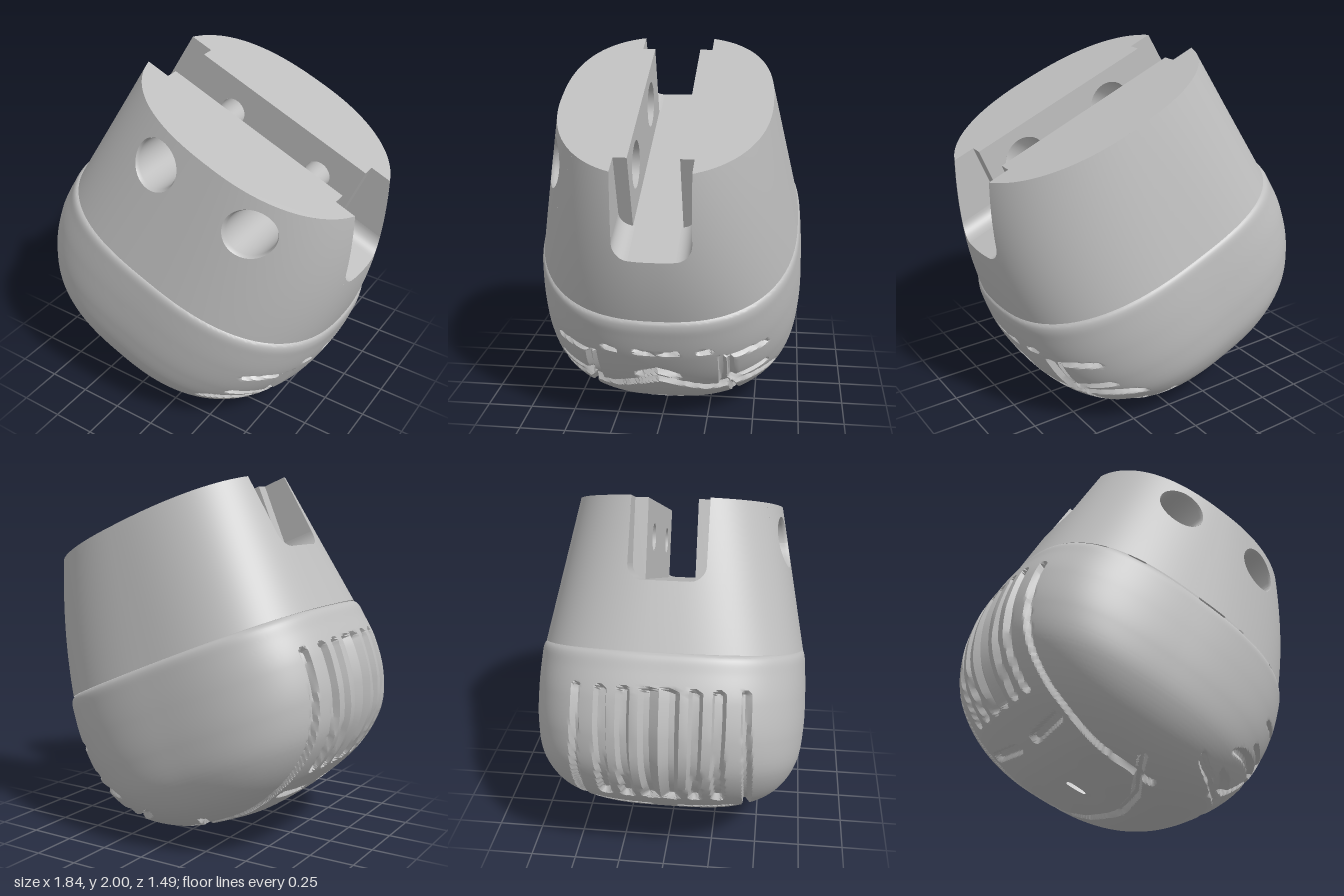
import * as THREE from 'three';
import { mergeVertices, toCreasedNormals } from 'three/addons/utils/BufferGeometryUtils.js';

// Built upright (u = x, v = y), then the whole group is tilted.
const TILT = Math.PI / 8, C = -0.38;
const TOP = 1.722, FLOOR = 1.3, LAP = FLOOR - 0.004, SEAM = 0.945;
const IN_L = -0.932, IN_R = 0.164, SLOT = 0.13, NOTCH = 0.2;
const HOLES = [-0.645, -0.058], HOLE_V = 1.527;
const lerp = THREE.MathUtils.lerp;
const V = (x, y, z) => new THREE.Vector3(x, y, z);

// Oval cross-section of the upper collar at height v
function collar(v) {
  const t = (v - 0.95) / 0.77;
  return { l: C - lerp(-1.184, -1.086, t), r: lerp(0.492, 0.316, t) + 0.14 * t * (1 - t) - C,
    w: lerp(0.715, 0.565, t), nl: lerp(2.85, 2.5, t), nr: lerp(2.45, 2.2, t) };
}
function oval(d, angle, v) {
  const c = Math.cos(angle), s = Math.sin(angle), n = c < 0 ? d.nl : d.nr;
  return V(C + Math.sign(c) * (c < 0 ? d.l : d.r) * Math.abs(c) ** (2 / n), v,
    Math.sign(s) * d.w * Math.abs(s) ** (2 / n));
}
function level(u, v, z) {
  const d = collar(v), n = u < C ? d.nl : d.nr;
  return (Math.abs(u - C) / (u < C ? d.l : d.r)) ** n + (Math.abs(z) / d.w) ** n;
}
function zAt(u, v) {
  const d = collar(v), n = u < C ? d.nl : d.nr;
  return d.w * Math.max(0, 1 - (Math.abs(u - C) / (u < C ? d.l : d.r)) ** n) ** (1 / n);
}
function uAt(side, z, v) {
  const d = collar(v), n = side < 0 ? d.nl : d.nr;
  return C + side * (side < 0 ? d.l : d.r) * (1 - (Math.abs(z) / d.w) ** n) ** (1 / n);
}
function angleAtU(u, v) {
  const d = collar(v), left = u < C;
  const c = (Math.abs(u - C) / (left ? d.l : d.r)) ** ((left ? d.nl : d.nr) / 2);
  return Math.acos(left ? -c : c);
}
function notchAngle(side, v) {
  const d = collar(v), a = Math.asin((NOTCH / d.w) ** ((side < 0 ? d.nl : d.nr) / 2));
  return side < 0 ? Math.PI - a : a;
}
function collarNormal(p) {
  const e = 1e-4, f = level;
  return V(f(p.x + e, p.y, p.z) - f(p.x - e, p.y, p.z), f(p.x, p.y + e, p.z) - f(p.x, p.y - e, p.z),
    f(p.x, p.y, p.z + e) - f(p.x, p.y, p.z - e)).normalize();
}

// Grid surface; out(p) tells which way it faces, and gives the normals when exact
function patch(fn, na, nb, out, exact) {
  const pts = [], index = [], ab = V(), ac = V();
  for (let j = 0; j <= nb; j++) for (let i = 0; i <= na; i++) pts.push(fn(i / na, j / nb));
  const tri = (a, b, c) => {
    ab.subVectors(pts[b], pts[a]);
    ac.subVectors(pts[c], pts[a]);
    if (ab.cross(ac).dot(out(pts[a])) < 0) index.push(a, c, b);
    else index.push(a, b, c);
  };
  for (let j = 0; j < nb; j++) for (let i = 0; i < na; i++) {
    const a = j * (na + 1) + i, b = a + na + 1;
    tri(a, a + 1, b + 1);
    tri(a, b + 1, b);
  }
  const g = new THREE.BufferGeometry().setFromPoints(pts);
  g.setIndex(index);
  if (exact) g.setAttribute('normal', new THREE.Float32BufferAttribute(pts.flatMap(p => out(p).toArray()), 3));
  else g.computeVertexNormals();
  return g;
}

// Tread grooves on the right-hand end: [half width, points as (|z|, world height)]
const END_TREAD = [
  [0.018, [[0, 0.3], [0.25, 0.215], [0.33, 0.215], [0.6, 0.265]]],
  [0.016, [[0, 0.36], [0.1, 0.325]]],
  [0.02, [[0.345, 0.44], [0.345, 0.23]]],
  [0.012, [[0.345, 0.43], [0.44, 0.46], [0.56, 0.48]]],
  [0.012, [[0.385, 0.42], [0.385, 0.27], [0.56, 0.33]]],
  [0.014, [[0.385, 0.2], [0.4, 0.09], [0.6, 0.17]]],
  [0.008, [[0.04, 0.48], [0.11, 0.49]]],
  [0.008, [[0.22, 0.49], [0.28, 0.5]]],
];
// Grooves wrapping underneath: points as (|z|, degrees down and round from the right-hand end)
const WRAP_TREAD = [
  [0.02, [[0, 57], [0.15, 61], [0.3, 62], [0.5, 74], [0.6, 84]]],
  [0.02, [[0, 96], [0.25, 100], [0.5, 112]]],
  // vents and their border on the left-hand end
  ...[0.06, 0.18, 0.3].map(z => [0.028, [[z, 163], [z, 205]]]),
  [0.018, [[0.43, 206], [0.45, 180], [0.45, 150], [0.4, 100]]],
  [0.026, [[0.1, 146], [0.36, 148]]],
].map(([w, path]) => [w, path.map(([z, deg]) => [z, deg * Math.PI / 180 * 0.75])]);

// 0 outside the grooves, 1 at their floor, with a narrow slope between
function grooveDepth(p) {
  const x = p.x * Math.cos(TILT) + p.y * Math.sin(TILT), y = p.y * Math.cos(TILT) - p.x * Math.sin(TILT);
  let angle = Math.atan2(0.75 - y, x), depth = 0;
  if (angle < -Math.PI / 2) angle += 2 * Math.PI;
  const near = V(), line = new THREE.Line3();
  const carve = (strokes, q) => {
    for (const [w, path] of strokes) for (let i = 1; i < path.length; i++) {
      line.start.set(...path[i - 1], 0);
      line.end.set(...path[i], 0);
      const d = line.closestPointToPoint(q, true, near).distanceTo(q);
      depth = Math.max(depth, THREE.MathUtils.clamp((w + 0.006 - d) / 0.012, 0, 1));
    }
  };
  if (x > 0.2) carve(END_TREAD, V(Math.abs(p.z), y, 0));
  carve(WRAP_TREAD, V(Math.abs(p.z), angle * 0.75, 0));
  return depth;
}

// Rounded lower shell, lofted from ovals: height, left, right, half width
function lowerShell() {
  const rows = [[-0.004, -0.42, -0.3, 0.02], [0.002, -0.5, -0.1, 0.22], [0.04, -0.66, 0.09, 0.43],
    [0.15, -0.92, 0.28, 0.61], [0.31, -1.11, 0.412, 0.712], [0.5, -1.2, 0.49, 0.742],
    [0.7, -1.225, 0.521, 0.742], [0.86, -1.207, 0.517, 0.732], [0.915, -1.198, 0.508, 0.725],
    [0.938, -1.183, 0.493, 0.711], [0.946, -1.16, 0.47, 0.69], [0.948, -1.12, 0.43, 0.65]];
  const ends = new THREE.CatmullRomCurve3(rows.map(r => V(r[1], r[0], r[2])), false, 'catmullrom');
  const width = new THREE.CatmullRomCurve3(rows.map(r => V(r[3], 0, 0)), false, 'catmullrom');
  let g = patch((a, b) => {
    const t = ends.getUtoTmapping(b), e = ends.getPoint(t);
    return oval({ l: C - e.x, r: e.z - C, w: width.getPoint(t).x, nl: 2.95, nr: 2.5 }, a * 2 * Math.PI, e.y);
  }, 340, 170, p => V(p.x - C, p.y - 0.6, p.z));
  g.deleteAttribute('normal');
  g = mergeVertices(g, 1e-5);
  g.computeVertexNormals();
  const pos = g.attributes.position, nor = g.attributes.normal, p = V(), n = V();
  for (let i = 0; i < pos.count; i++) {
    p.fromBufferAttribute(pos, i);
    if (p.y > 0.88) continue;
    p.addScaledVector(n.fromBufferAttribute(nor, i), -0.035 * grooveDepth(p));
    pos.setXYZ(i, p.x, p.y, p.z);
  }
  return toCreasedNormals(g, 0.6);
}

export function createModel() {
  const model = new THREE.Group();
  model.name = 'tiltedFoot';
  model.rotation.z = -TILT;
  const grey = new THREE.MeshStandardMaterial({ color: 0xbebebe, side: THREE.DoubleSide });
  grey.name = 'grey';
  const add = (name, geometry) => {
    const m = new THREE.Mesh(geometry, grey);
    m.name = name;
    model.add(m);
    return m;
  };
  const shapeOf = pts => new THREE.Shape(pts.map(p => new THREE.Vector2(p[0], p[1])));
  const flat = (pts, v) => new THREE.ShapeGeometry(shapeOf(pts.map(p => [p[0], -p[1]])))
    .rotateX(-Math.PI / 2).translate(0, v, 0);

  add('lowerShell', lowerShell());

  // Collar: full band below the slot, then the two cheeks
  add('collarBand', patch((a, b) => {
    const v = lerp(SEAM, FLOOR, b);
    return oval(collar(v), a * 2 * Math.PI, v);
  }, 128, 8, collarNormal, true));
  const cheek = (name, from, to, sign) => add(name, patch((a, b) => {
    const v = lerp(LAP, TOP, b), p = oval(collar(v), lerp(from(v), to(v), a), v);
    p.z *= sign;
    return p;
  }, 48, 8, collarNormal, true));
  const right = v => notchAngle(1, v), left = v => notchAngle(-1, v), at = u => v => angleAtU(u, v);
  const R = 0.2;
  cheek('backCheek', right, left, -1);
  cheek('frontCheekRight', right, at(HOLES[1] + R), 1);
  cheek('frontCheekMiddle', at(HOLES[1] - R), at(HOLES[0] + R), 1);
  cheek('frontCheekLeft', at(HOLES[0] - R), left, 1);

  // Bolt holes: pierced surface, bored tube, and a blind hole across the slot
  for (const h of HOLES) {
    const corners = [[h - R, LAP], [h + R, LAP], [h + R, TOP], [h - R, TOP]];
    add('holeSurround', patch((a, b) => {
      const s = Math.min(3, Math.floor(a * 4)), f = a * 4 - s, p = corners[s], q = corners[(s + 1) % 4];
      const du = lerp(p[0], q[0], f) - h, dv = lerp(p[1], q[1], f) - HOLE_V, k = 0.135 / Math.hypot(du, dv);
      const u = h + du * lerp(k, 1, b), v = HOLE_V + dv * lerp(k, 1, b);
      return V(u, v, zAt(u, v));
    }, 64, 6, collarNormal, true));
    add('holeBore', patch((a, b) => {
      const r = b === 0 ? 0.135 : 0.125, t = a * 2 * Math.PI;
      const u = h + r * Math.cos(t), v = HOLE_V + r * Math.sin(t);
      return V(u, v, b === 1 ? SLOT : zAt(u, v) - b * 0.04);
    }, 48, 2, p => V(h - p.x, HOLE_V - p.y, 0)));
    add('blindHole', new THREE.CylinderGeometry(0.075, 0.075, 0.2, 32, 1, true).rotateX(Math.PI / 2))
      .position.set(h, HOLE_V, -SLOT - 0.1);
    add('blindHoleEnd', new THREE.CircleGeometry(0.075, 32)).position.set(h, HOLE_V, -SLOT - 0.2);
  }

  // Slot between the cheeks, with wider notches at both ends
  const zs = Array.from({ length: 9 }, (_, i) => lerp(-NOTCH, NOTCH, i / 8));
  add('slotFloor', flat([...zs.map(z => [uAt(1, z, FLOOR), z]),
    ...zs.slice().reverse().map(z => [uAt(-1, z, FLOOR), z])], FLOOR));
  for (const s of [1, -1]) {
    const rim = Array.from({ length: 65 }, (_, i) => {
      const p = oval(collar(TOP), lerp(right(TOP), left(TOP), i / 64), TOP);
      return [p.x, s * p.z];
    });
    add('topFace', flat([...rim, [IN_L, s * NOTCH], [IN_L, s * SLOT], [IN_R, s * SLOT], [IN_R, s * NOTCH]], TOP));

    const wall = shapeOf([[IN_L, FLOOR], [IN_R, FLOOR], [IN_R, TOP], [IN_L, TOP]]);
    for (const h of HOLES) {
      wall.holes.push(new THREE.Path().absarc(h, HOLE_V, s > 0 ? 0.125 : 0.075, 0, Math.PI * 2, true));
    }
    add('slotWall', new THREE.ShapeGeometry(wall, 32)).position.z = s * SLOT;

    for (const [side, inner] of [[-1, IN_L], [1, IN_R]]) {
      const edge = [0, 0.25, 0.5, 0.75, 1].map(t => lerp(FLOOR, TOP, t)).map(v => [uAt(side, NOTCH, v), v]);
      add('notchWall', new THREE.ShapeGeometry(shapeOf([[inner, FLOOR], ...edge, [inner, TOP]])))
        .position.z = s * NOTCH;
      add('notchStep', new THREE.PlaneGeometry(NOTCH - SLOT, TOP - FLOOR).rotateY(Math.PI / 2))
        .position.set(inner, (TOP + FLOOR) / 2, s * (NOTCH + SLOT) / 2);
      // rounded lower corner of the notch and the sliver of skin outside it
      const r = 0.08, arc = b => [NOTCH - r + r * Math.sin(b * Math.PI / 2), FLOOR + r - r * Math.cos(b * Math.PI / 2)];
      add('notchFillet', patch((a, b) => {
        const [z, v] = arc(b);
        return V(lerp(inner, uAt(side, z, v), a), v, s * z);
      }, 2, 10, p => V(0, FLOOR + r - p.y, s * (NOTCH - r) - p.z)));
      add('notchSkin', patch((a, b) => {
        const [z0, v] = arc(b), z = lerp(z0, NOTCH, a);
        return V(uAt(side, z, v), v, s * z);
      }, 3, 10, collarNormal, true));
    }
  }
  return model;
}
